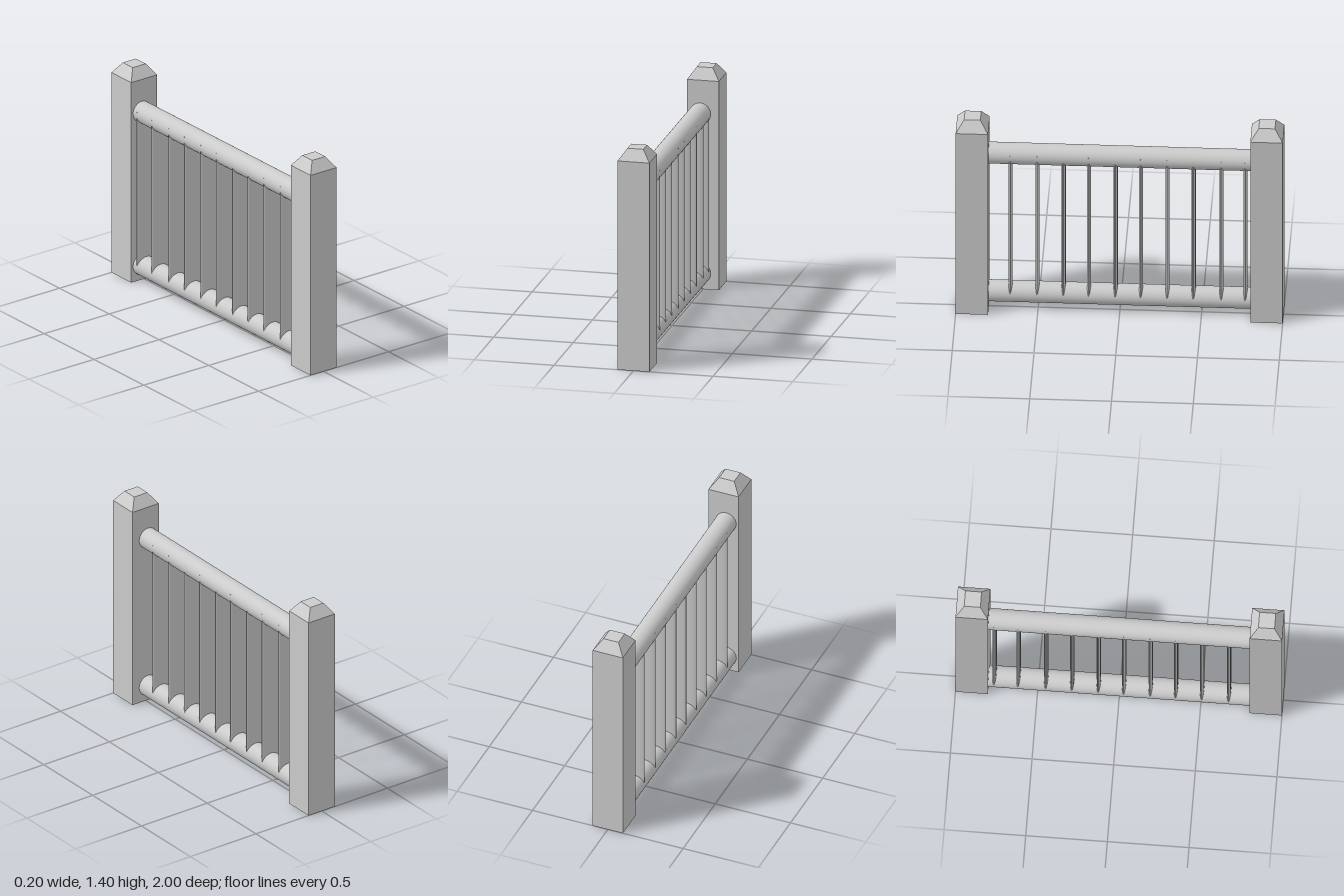
import * as THREE from 'three';

const AXIS_X = -0.018; // rails and balusters sit slightly off the post centre

export function createModel() {
  const group = new THREE.Group();
  const smooth = new THREE.MeshStandardMaterial({ color: 0xcccccc });
  const flat = new THREE.MeshStandardMaterial({ color: 0xcccccc, flatShading: true });

  const add = (parent, name, geometry, material, x, y, z) => {
    const mesh = new THREE.Mesh(geometry, material);
    mesh.name = name;
    mesh.position.set(x, y, z);
    parent.add(mesh);
    return mesh;
  };

  // Square posts, each with a chamfered cap (a four-sided frustum)
  const shaft = new THREE.BoxGeometry(0.2, 1.33, 0.198);
  const cap = new THREE.CylinderGeometry(0.05 * Math.SQRT2, 0.1 * Math.SQRT2, 0.07, 4, 1);
  cap.rotateY(Math.PI / 4);
  cap.scale(1, 1, 0.99);
  for (const side of [1, -1]) {
    const post = new THREE.Group();
    post.name = side > 0 ? 'frontPost' : 'backPost';
    post.position.z = side * 0.901;
    add(post, 'postShaft', shaft, flat, 0, 0.665, 0);
    add(post, 'postCap', cap, flat, 0, 1.365, 0);
    group.add(post);
  }

  // Round rails running between the posts
  const rail = new THREE.CylinderGeometry(0.067, 0.067, 1.61, 48);
  rail.rotateX(Math.PI / 2);
  add(group, 'topRail', rail, smooth, AXIS_X, 1.118, 0);
  add(group, 'bottomRail', rail, smooth, AXIS_X, 0.102, 0);

  // Thin elliptical balusters, as deep as the rails
  const baluster = new THREE.CylinderGeometry(1, 1, 1.052, 32);
  baluster.scale(0.0652, 1, 0.0125);
  const places = [0.67, 0.505, 0.345, 0.19, 0.027, -0.128, -0.29, -0.45, -0.62, -0.767];
  places.forEach((z, i) => add(group, `baluster${i + 1}`, baluster, smooth, AXIS_X, 0.614, z));

  return group;
}
